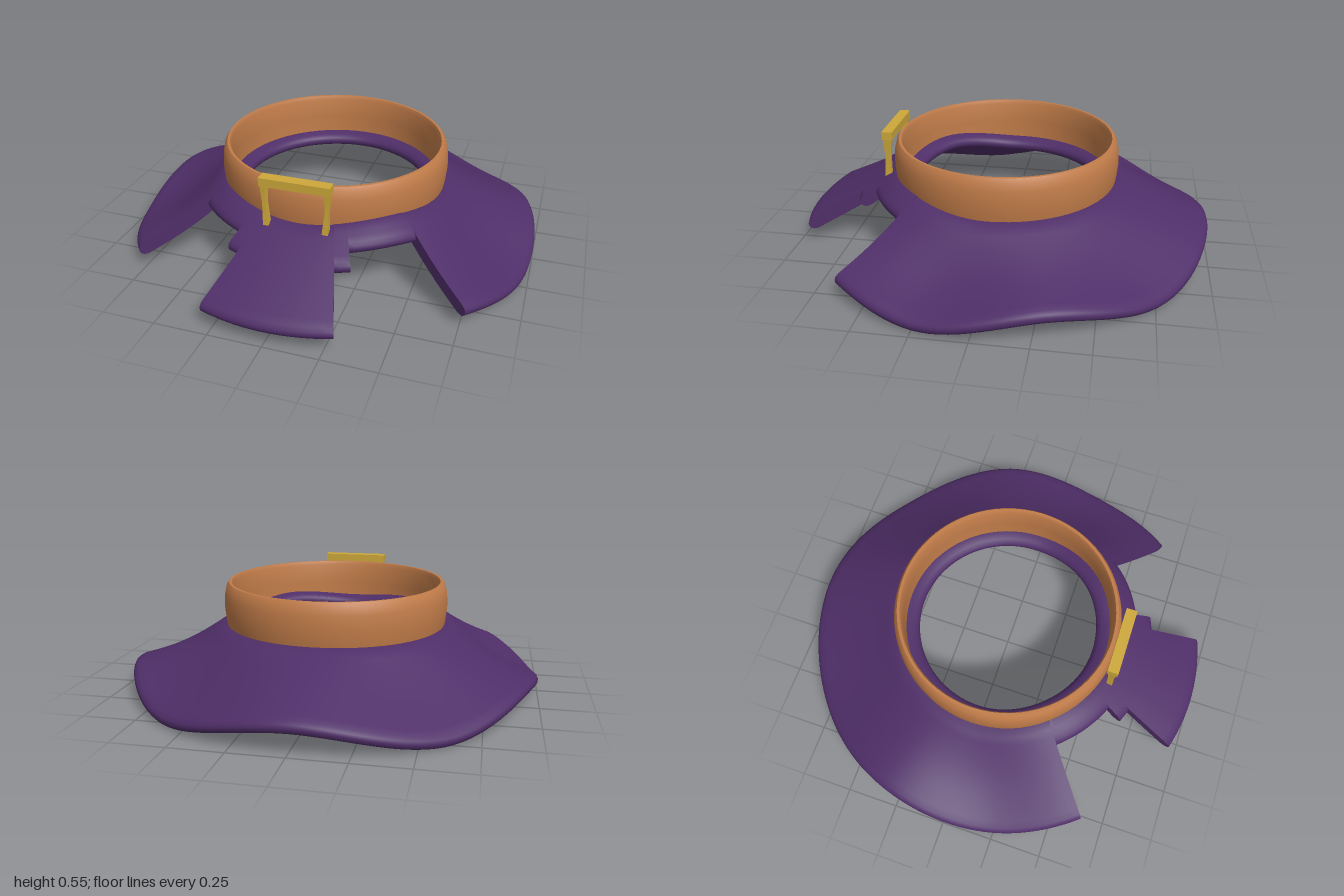
import * as THREE from 'three';
import { mergeGeometries, toCreasedNormals } from 'three/addons/utils/BufferGeometryUtils.js';

const HALF = 0.03; // half thickness of the cloth
const INNER = 0.445;
const RAD = Math.PI / 180;

// Smooth interpolation between [degrees, value] keys, mirrored left to right
function wave(keys, angle) {
  let d = Math.abs(angle) % 360;
  if (d > 180) d = 360 - d;
  for (let i = 1; i < keys.length; i++) {
    const [a, va] = keys[i - 1], [b, vb] = keys[i];
    if (d <= b) return va + (vb - va) * THREE.MathUtils.smoothstep(d, a, b);
  }
  return keys[keys.length - 1][1];
}
const neckKeys = [[0, 0.325], [40, 0.348], [90, 0.305], [180, 0.31]];
const rimKeys = [[0, 0.095], [45, 0.105], [76, 0.038], [108, 0.125], [142, 0.036], [180, 0.13]];

// Mid height of the cloth at an angle (degrees from the front) and radius
function height(angle, r) {
  const neck = wave(neckKeys, angle), rim = wave(rimKeys, angle);
  if (r < 0.55) return neck - 0.025 * ((0.55 - r) / 0.11) ** 2;
  const t = (r - 0.55) / 0.45;
  const bulge = 0.13 * Math.sin(angle * RAD) ** 2 * Math.sin(Math.PI * t);
  return neck + (rim - neck) * (t + bulge);
}

// Thick curved sector from the neck hole to radius r1, with rounded inner and outer edges
function sector(a0, a1, r1) {
  const steps = Math.ceil((a1 - a0) / 2.5), radii = [];
  const ends = [0, 0.003, 0.012, HALF];
  ends.forEach(d => radii.push(INNER + d));
  const inside = Math.ceil((r1 - INNER) / 0.035);
  for (let i = 1; i < inside; i++) radii.push(THREE.MathUtils.lerp(INNER + HALF, r1 - HALF, i / inside));
  [...ends].reverse().forEach(d => radii.push(r1 - d));
  const n = radii.length;

  const point = (angle, r, side) => {
    const d = Math.min(r - INNER, r1 - r, HALF);
    const h = side * Math.sqrt(Math.max(0, HALF * HALF - (HALF - d) ** 2));
    const slope = (height(angle, r + 0.01) - height(angle, r - 0.01)) / 0.02;
    const len = Math.hypot(1, slope);
    const rr = r - h * slope / len, y = height(angle, r) + h / len;
    return [rr * Math.sin(angle * RAD), y, rr * Math.cos(angle * RAD)];
  };

  const pos = [];
  const quad = (a, b, c, d) => pos.push(...a, ...b, ...c, ...a, ...c, ...d);
  const rows = [];
  for (let i = 0; i <= steps; i++) {
    const angle = a0 + (a1 - a0) * i / steps;
    rows.push({ top: radii.map(r => point(angle, r, 1)), low: radii.map(r => point(angle, r, -1)) });
  }
  for (let i = 0; i < steps; i++) {
    const p = rows[i], q = rows[i + 1];
    for (let j = 0; j < n - 1; j++) {
      quad(p.top[j], p.top[j + 1], q.top[j + 1], q.top[j]);
      quad(p.low[j], q.low[j], q.low[j + 1], p.low[j + 1]);
    }
  }
  // Flat ends
  const s = rows[0], e = rows[steps];
  for (let j = 0; j < n - 1; j++) {
    quad(s.top[j], s.low[j], s.low[j + 1], s.top[j + 1]);
    quad(e.top[j], e.top[j + 1], e.low[j + 1], e.low[j]);
  }
  const g = new THREE.BufferGeometry();
  g.setAttribute('position', new THREE.Float32BufferAttribute(pos, 3));
  return toCreasedNormals(g, 0.9);
}

// Thin post, pinched in the middle and deeper at the top
function postGeometry() {
  const g = new THREE.BoxGeometry(1, 0.23, 1, 1, 2, 1);
  const p = g.attributes.position;
  for (let i = 0; i < p.count; i++) {
    const y = p.getY(i);
    const level = y > 0.05 ? 2 : y < -0.05 ? 0 : 1;
    p.setX(i, p.getX(i) * [0.028, 0.016, 0.026][level] + [-0.012, -0.005, 0][level]);
    p.setZ(i, p.getZ(i) * [0.03, 0.028, 0.048][level] + [0.008, 0.003, 0][level]);
  }
  g.computeVertexNormals();
  return g;
}

export function createModel() {
  const model = new THREE.Group();
  const purple = new THREE.MeshStandardMaterial({ color: 0x4f2e68 });
  purple.name = 'purple cloth';
  const leather = new THREE.MeshStandardMaterial({ color: 0xc17c49 });
  leather.name = 'tan leather';
  const gold = new THREE.MeshStandardMaterial({ color: 0xcda83a });
  gold.name = 'gold metal';
  const add = (name, geometry, material, parent = model) => {
    const mesh = new THREE.Mesh(geometry, material);
    mesh.name = name;
    parent.add(mesh);
    return mesh;
  };

  // Wavy brim, front tab and the narrow collar between them
  add('brim', sector(50.5, 309.5, 1), purple);
  add('frontTab', sector(-17.3, 17.3, 0.995), purple);
  add('collar', mergeGeometries([
    sector(17.3, 22.7, 0.73), sector(-22.7, -17.3, 0.73),
    sector(22.7, 50.5, 0.65), sector(-50.5, -22.7, 0.65),
  ]), purple);

  // Upright band
  const profile = [
    [0.505, 0.30], [0.535, 0.30], [0.545, 0.35], [0.552, 0.42], [0.549, 0.48], [0.54, 0.52],
    [0.528, 0.538], [0.515, 0.538], [0.507, 0.52], [0.51, 0.42], [0.505, 0.30],
  ].map(([r, y]) => new THREE.Vector2(r, y));
  add('band', toCreasedNormals(new THREE.LatheGeometry(profile, 72), 0.7), leather);

  // Buckle: a top bar on two posts
  const buckle = new THREE.Group();
  buckle.name = 'buckle';
  model.add(buckle);
  add('buckleBar', new THREE.BoxGeometry(0.326, 0.04, 0.052), gold, buckle).position.set(0, 0.553, 0.562);
  for (const side of [-1, 1]) {
    const post = add(side > 0 ? 'leftPost' : 'rightPost', postGeometry(), gold, buckle);
    post.position.set(side * 0.149, 0.45, 0.562);
    if (side < 0) post.rotation.y = 0;
    // The right post mirrors the inward lean of the left one
    if (side < 0) {
      const p = post.geometry.attributes.position;
      for (let i = 0; i < p.count; i++) p.setX(i, -p.getX(i));
      const index = post.geometry.index.array;
      for (let i = 0; i < index.length; i += 3) [index[i], index[i + 1]] = [index[i + 1], index[i]];
      post.geometry.computeVertexNormals();
    }
  }
  return model;
}
